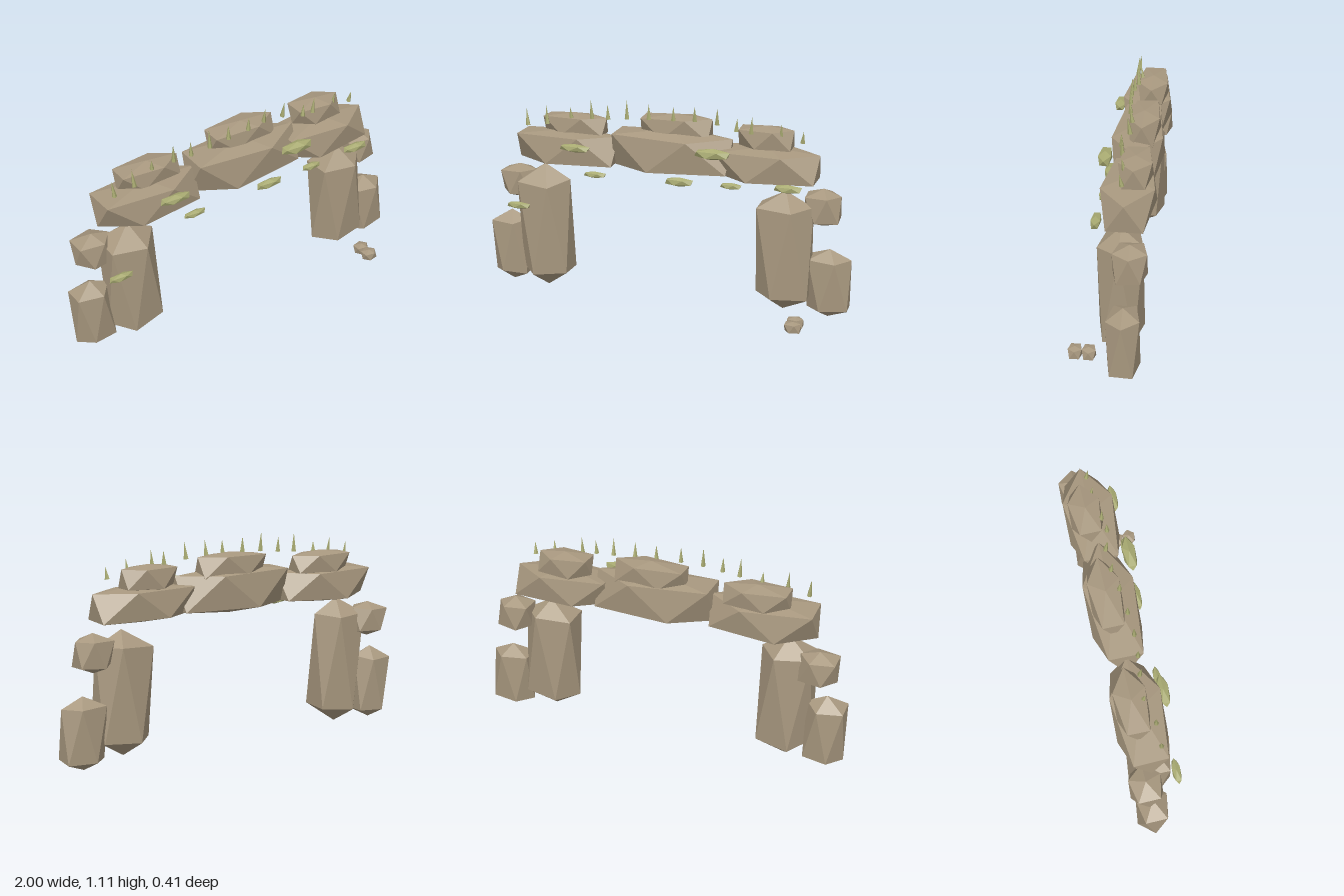
import * as THREE from 'three';

export function createModel() {
  const group = new THREE.Group();
  group.name = 'rockArch';
  const stone = new THREE.MeshStandardMaterial({ color: 0xa8987f, flatShading: true });
  stone.name = 'stone';
  const moss = new THREE.MeshStandardMaterial({ color: 0xa9ab72, flatShading: true });
  moss.name = 'moss';

  let seed = 7;
  const jitter = (a) => {
    seed = (seed * 16807) % 2147483647;
    return (seed / 2147483647 - 0.5) * 2 * a;
  };

  // Faceted boulder filling a box: two staggered five-sided rings between two tips.
  // ring = height of the rings as a share of the half height, p = how boxy the outline is
  function boulder(name, [x0, x1], [y0, y1], [z0, z1], material = stone, ring = 0.72, p = 4, wobble = 0.03) {
    const sides = 5;
    const verts = [0, 1, 0];
    for (const level of [1, -1]) {
      for (let i = 0; i < sides; i++) {
        const a = (i / sides) * Math.PI * 2 + (level < 0 ? Math.PI / sides : 0);
        const c = Math.cos(a), s = Math.sin(a);
        const r = Math.pow(Math.abs(c) ** p + Math.abs(s) ** p, -1 / p) - Math.abs(jitter(wobble));
        verts.push(c * r, level * ring + jitter(wobble * 2), s * r);
      }
    }
    verts.push(0, -1, 0);
    const faces = [];
    for (let i = 0; i < sides; i++) {
      const j = (i + 1) % sides;
      const u = 1 + i, un = 1 + j, l = 1 + sides + i, ln = 1 + sides + j;
      faces.push(0, un, u, u, un, l, un, ln, l, 1 + 2 * sides, l, ln);
    }
    const geo = new THREE.BufferGeometry();
    geo.setAttribute('position', new THREE.Float32BufferAttribute(verts, 3));
    geo.setIndex(faces);
    geo.scale((x1 - x0) / 2, (y1 - y0) / 2, (z1 - z0) / 2);
    geo.translate((x0 + x1) / 2, (y0 + y1) / 2, (z0 + z1) / 2);
    const flat = geo.toNonIndexed();
    flat.computeVertexNormals();
    const mesh = new THREE.Mesh(flat, material);
    mesh.name = name;
    group.add(mesh);
  }

  // Pillars and the rocks leaning on them
  boulder('rightPillar', [-0.82, -0.53], [0.03, 0.73], [-0.16, 0.07]);
  boulder('leftPillar', [0.5, 0.8], [0.04, 0.69], [-0.16, 0.07]);
  boulder('rightButtress', [-1, -0.79], [0.03, 0.44], [-0.16, 0.01]);
  boulder('leftButtress', [0.77, 1], [0.01, 0.385], [-0.16, 0.005]);
  boulder('rightShoulderRock', [-0.95, -0.75], [0.51, 0.7], [-0.19, -0.02], stone, 0.66);
  boulder('leftShoulderRock', [0.74, 0.93], [0.5, 0.7], [-0.19, -0.02], stone, 0.66);

  // Lintel stones
  boulder('rightLintel', [-0.83, -0.26], [0.725, 0.925], [-0.2, 0.06]);
  boulder('middleLintel', [-0.3, 0.365], [0.72, 0.965], [-0.205, 0.06]);
  boulder('leftLintel', [0.27, 0.82], [0.72, 0.91], [-0.205, 0.06]);

  // Cap stones on top of the lintel
  boulder('rightCap', [-0.69, -0.34], [0.88, 1.01], [-0.185, -0.02]);
  boulder('middleCap', [-0.15, 0.245], [0.9, 1.04], [-0.185, -0.02]);
  boulder('leftCap', [0.38, 0.675], [0.88, 1.012], [-0.185, -0.02]);

  // Pebbles
  for (const z of [0.105, 0.175]) {
    boulder('pebble', [0.705, 0.79], [0, 0.063], [z - 0.035, z + 0.035], stone, 0.66);
  }

  // Moss clumps on the front: x, y, width, height, depth
  for (const [x, y, w, h, d] of [
    [-0.46, 0.86, 0.17, 0.045, 0.06], [0.285, 0.885, 0.19, 0.06, 0.07],
    [-0.35, 0.724, 0.125, 0.035, 0.04], [0.11, 0.724, 0.155, 0.05, 0.045],
    [0.385, 0.725, 0.115, 0.035, 0.04], [0.68, 0.735, 0.15, 0.045, 0.05],
    [-0.79, 0.515, 0.135, 0.04, 0.045],
  ]) {
    boulder('mossClump', [x - w / 2, x + w / 2], [y - h / 2, y + h / 2],
      [0.072 - d / 2, 0.072 + d / 2], moss, 0.5, 2.2, 0.04);
  }

  // Grass blades along the crest: x, base y, tip y, z
  for (const [x, y0, y1, z] of [
    [-0.757, 0.945, 1.035, -0.01], [-0.645, 0.96, 1.06, -0.01], [-0.52, 0.99, 1.05, -0.04],
    [-0.4, 1, 1.1, -0.03], [-0.305, 1.005, 1.085, -0.02], [-0.198, 1.015, 1.115, -0.015],
    [-0.08, 1.02, 1.1, -0.02], [0.05, 1.02, 1.095, -0.03], [0.16, 1.02, 1.1, -0.045],
    [0.28, 1.01, 1.1, -0.045], [0.39, 0.99, 1.06, -0.02], [0.465, 0.98, 1.07, -0.03],
    [0.615, 0.965, 1.04, -0.05], [0.728, 0.945, 1.01, -0.05],
  ]) {
    const blade = new THREE.Mesh(new THREE.ConeGeometry(0.013, y1 - y0, 5), moss);
    blade.name = 'grassBlade';
    blade.position.set(x, (y0 + y1) / 2, z);
    blade.rotation.set((z + 0.02) * -6, 0, -x * 0.12);
    group.add(blade);
  }
  return group;
}
